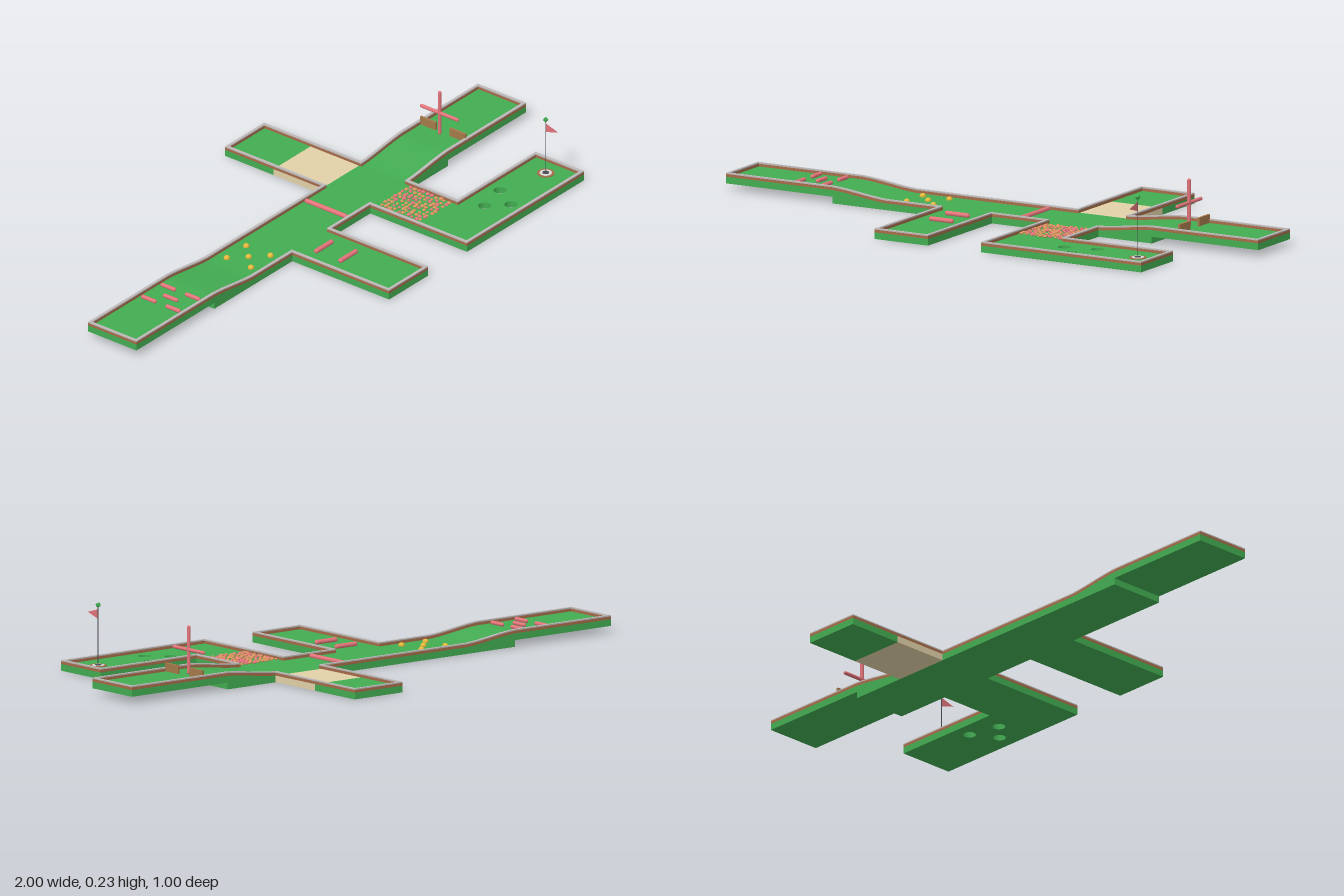
import * as THREE from 'three';
import { mergeGeometries } from 'three/addons/utils/BufferGeometryUtils.js';

const mat = (name, color) => Object.assign(new THREE.MeshStandardMaterial({ color }), { name });
const T = 0.01, FLOOR = 0.022, RISE = 0.022;

// Extra floor height along the main lane: raised at both ends, soft ramps between
function rise(x) {
  const t = THREE.MathUtils.clamp((Math.abs(x) - 0.4) / 0.2, 0, 1);
  return RISE * (t + THREE.MathUtils.smoothstep(t, 0, 1)) / 2;
}

// Sample positions along x, denser on the ramps
function samples(x0, x1) {
  const xs = [x0];
  for (let i = -12; i <= 12; i++) {
    const x = i * 0.025 + (i < 0 ? -0.3 : 0.3);
    if (Math.abs(x) >= 0.399 && x > x0 + 1e-4 && x < x1 - 1e-4) xs.push(x);
  }
  return [...xs, x1];
}

export function createModel() {
  const green = mat('turf green', 0x43ad52);
  const brown = mat('border brown', 0xa66c49);
  const wood = mat('gate wood', 0xa57a4a);
  const grey = mat('border cap grey', 0xbfb9b9);
  const red = mat('obstacle red', 0xe5757b);
  const sandy = mat('sand', 0xe3d2a9);
  const gold = mat('bumper gold', 0xe6bb3c);
  const dark = mat('pole dark grey', 0x4a4d52);
  const pale = mat('cup white', 0xdcdcdc);
  const tan = mat('stone tan', 0xdb9560);
  const root = new THREE.Group();
  root.name = 'miniGolfCourse';

  function add(name, geo, material, x = 0, y = 0, z = 0) {
    const m = new THREE.Mesh(geo, material);
    m.name = name;
    m.position.set(x, y, z);
    root.add(m);
    return m;
  }
  const box = (name, material, x0, x1, y0, y1, z0, z1) =>
    add(name, new THREE.BoxGeometry(x1 - x0, y1 - y0, z1 - z0), material,
      (x0 + x1) / 2, (y0 + y1) / 2, (z0 + z1) / 2);
  const extrude = (shape, depth) =>
    new THREE.ExtrudeGeometry(shape, { depth, bevelEnabled: false, curveSegments: 20 });
  const poly = (pts) => new THREE.Shape(pts.map((p) => new THREE.Vector2(...p)));

  // Main lane with its ramps
  add('mainLane', extrude(poly([
    [-1, FLOOR], [-0.6, FLOOR], [-0.6, 0], [0.6, 0], [0.6, FLOOR], [1, FLOOR],
    ...samples(-1, 1).reverse().map((x) => [x, FLOOR + rise(x)]),
  ]), 0.2), green, 0, 0, -0.1);

  // Side lanes
  box('frontLane', green, -0.2, 0, 0, FLOOR, 0.1, 0.5);
  box('backLane', green, 0.2, 0.4, 0, FLOOR, -0.5, -0.3);
  box('sandTrap', sandy, 0.2, 0.4, 0, FLOOR, -0.3, -0.1);

  // L-shaped lane with three holes right through it
  const lane = poly([[0.2, -0.1], [0.2, -0.5], [0.8, -0.5], [0.8, -0.3], [0.4, -0.3], [0.4, -0.1]]);
  for (const [x, z] of [[0.44, 0.38], [0.55, 0.355], [0.5, 0.44]]) {
    lane.holes.push(new THREE.Path().absarc(x, -z, 0.021, 0, Math.PI * 2, true));
  }
  add('cupLane', extrude(lane, FLOOR).rotateX(-Math.PI / 2), green);

  // Border walls: brown body below, grey cap on top
  const layers = [['Wall', 0, 0.009, brown], ['WallCap', 0.009, 0.013, grey]];
  function wallX(x0, x1, z, follow) {
    const xs = samples(x0, x1);
    const h = (x) => FLOOR + (follow ? rise(x) : 0);
    for (const [n, a, b, m] of layers) {
      add('long' + n, extrude(poly([
        ...xs.map((x) => [x, h(x) + a]),
        ...[...xs].reverse().map((x) => [x, h(x) + b]),
      ]), T), m, 0, 0, z);
    }
  }
  function wallZ(x, z0, z1, base = FLOOR) {
    for (const [n, a, b, m] of layers) box('cross' + n, m, x, x + T, base + a, base + b, z0, z1);
  }
  for (const [a, b] of [[-1, 0.2], [0.4, 1]]) wallX(a, b, -0.1, true);
  for (const [a, b] of [[-1, -0.2], [0, 0.2], [0.4, 1]]) wallX(a, b, 0.1 - T, true);
  for (const x of [-1, 1 - T]) wallZ(x, -0.1 + T, 0.1 - T, FLOOR + RISE);
  wallX(0.2, 0.4, -0.5);
  wallX(-0.2, 0, 0.5 - T);
  wallX(0.2, 0.8, 0.5 - T);
  wallX(0.4, 0.8, 0.3);
  for (const x of [0.2, 0.4 - T]) wallZ(x, -0.5 + T, -0.1 + T);
  for (const x of [-0.2, -T, 0.2]) wallZ(x, 0.1 - T, 0.5 - T);
  wallZ(0.4 - T, 0.1 - T, 0.3 + T);
  wallZ(0.8 - T, 0.3 + T, 0.5 - T);

  // Round-ended bars
  function bar(name, x, y, z, len, axis, r = 0.007) {
    const g = new THREE.CapsuleGeometry(r, len - 2 * r, 4, 12);
    if (axis === 'x') g.rotateZ(Math.PI / 2);
    if (axis === 'z') g.rotateX(Math.PI / 2);
    return add(name, g, red, x, y, z);
  }
  for (const [x, z] of [[-0.75, -0.05], [-0.75, 0.05], [-0.7, 0], [-0.65, -0.05], [-0.65, 0.05]]) {
    bar('shortBar', x, FLOOR + RISE + 0.005, z, 0.062, 'z');
  }
  bar('crossingBar', 0.1, FLOOR + 0.004, 0, 0.178, 'z', 0.008);
  for (const z of [0.15, 0.25]) bar('laneBar', -0.1, FLOOR + 0.006, z, 0.092, 'x', 0.008);

  // Gold bumpers
  for (const [x, z] of [[-0.35, -0.05], [-0.35, 0.05], [-0.25, -0.05], [-0.25, 0.05], [-0.3, 0]]) {
    add('bumper', new THREE.SphereGeometry(0.0105, 14, 8), gold, x, FLOOR + 0.002, z);
  }

  // Rotor cross and the gate blocks behind it
  bar('rotorBlades', 0.68, 0.125, 0, 0.16, 'y', 0.006);
  bar('rotorBlades', 0.68, 0.125, 0, 0.16, 'z', 0.006);
  for (const s of [-1, 1]) {
    add('gateBlock', new THREE.BoxGeometry(0.008, 0.028, 0.064), wood, 0.698, 0.058, s * 0.061);
  }

  // Bed of small, flattened stones
  let seed = 7;
  const rnd = () => (seed = (seed * 16807) % 2147483647) / 2147483647;
  const stones = [[], [], []];
  for (let i = 0; i < 10; i++) for (let j = 0; j < 10; j++) {
    const g = new THREE.DodecahedronGeometry(0.0055 + rnd() * 0.003);
    g.rotateX(rnd() * 3).rotateY(rnd() * 3).scale(1, 0.7, 1);
    g.translate(0.219 + i * 0.018 + (rnd() - 0.5) * 0.007, FLOOR + 0.002,
      0.118 + j * 0.018 + (rnd() - 0.5) * 0.007);
    stones[Math.floor(rnd() * 3)].push(g);
  }
  [red, tan, tan].forEach((m, k) => add('stones', mergeGeometries(stones[k]), m));

  // Cup with flag
  const cup = new THREE.Vector3(0.728, FLOOR, 0.4);
  const disc = (name, r, h, m) => add(name, new THREE.CylinderGeometry(r, r, h, 24), m, cup.x, FLOOR + h / 2, cup.z);
  disc('cupRim', 0.028, 0.002, brown);
  disc('cupPlate', 0.02, 0.003, pale);
  disc('cupHole', 0.011, 0.004, dark);
  add('flagPole', new THREE.CylinderGeometry(0.0014, 0.0014, 0.198, 8), dark, cup.x, 0.121, cup.z);
  add('poleTip', new THREE.BoxGeometry(0.01, 0.011, 0.011).rotateX(0.5), green, cup.x, 0.221, cup.z);

  // Thin two-sided pennant
  const pennant = mergeGeometries([0, Math.PI].map((turn) => new THREE.ShapeGeometry(
    poly([[0, 0.175], [0, 0.207], [turn ? 0.053 : -0.053, 0.191]])).rotateY(Math.PI / 2 + turn)));
  add('flag', pennant, red, cup.x, 0, cup.z);
  return root;
}
